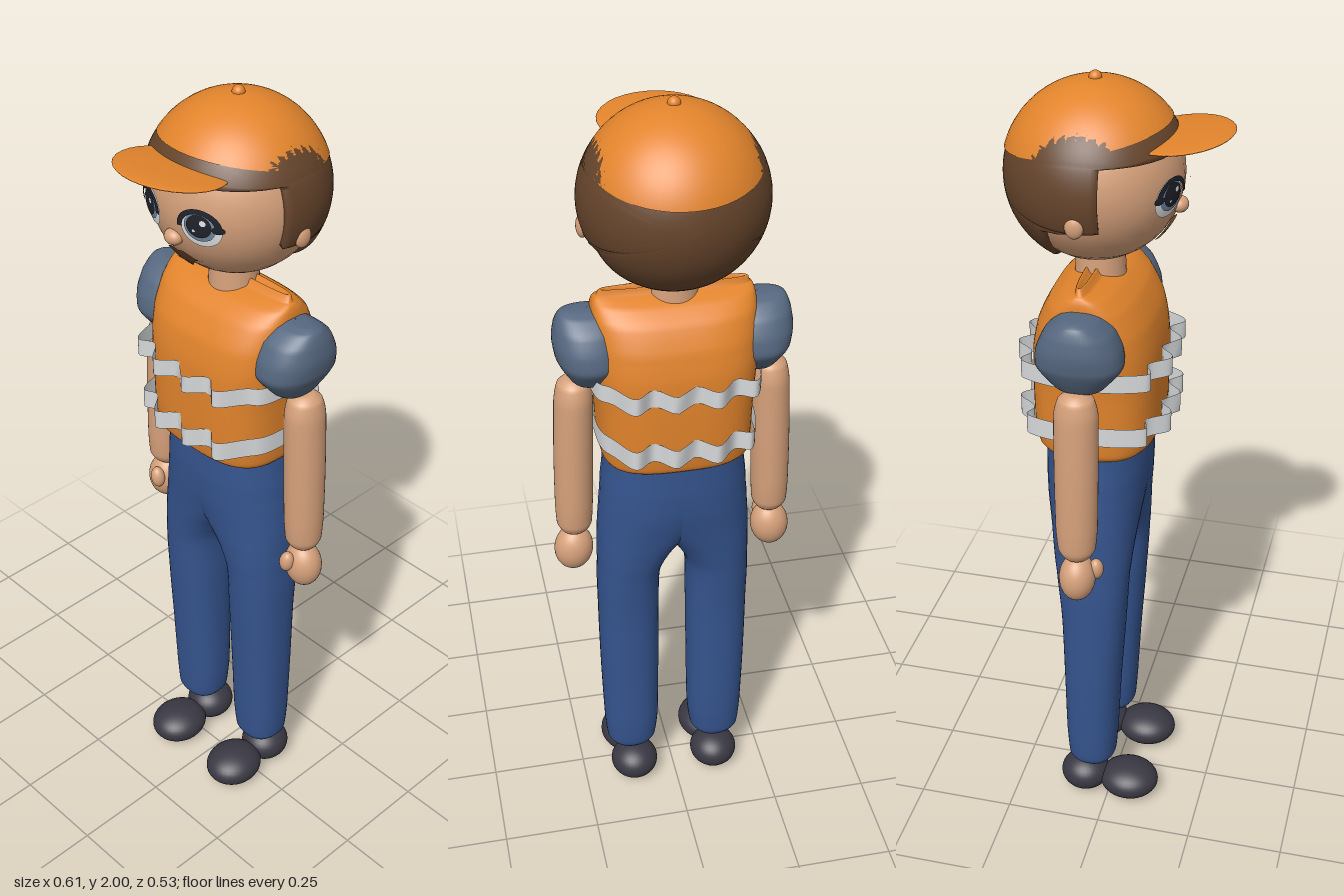
import * as THREE from 'three';

const mat = (name, color, side = THREE.FrontSide) => {
  const m = new THREE.MeshStandardMaterial({ color, side });
  m.name = name;
  return m;
};

// Centre line (z) of the body, and the head sphere
const CZ = -0.045;
const HEAD = { y: 1.77, z: -0.053, r: 0.203 };

// Signed power, for rounded-box cross-sections
const spow = (v, e) => Math.sign(v) * Math.abs(v) ** (2 / e);

// Grid of rows x columns, closed round the columns
function gridGeometry(rows, cols, point) {
  const pos = [], idx = [];
  for (let i = 0; i <= rows; i++)
    for (let j = 0; j < cols; j++) pos.push(...point(i / rows, (j / cols) * Math.PI * 2));
  for (let i = 0; i < rows; i++)
    for (let j = 0; j < cols; j++) {
      const a = i * cols + j, b = i * cols + ((j + 1) % cols), c = a + cols, d = b + cols;
      idx.push(a, c, b, b, c, d);
    }
  const g = new THREE.BufferGeometry();
  g.setAttribute('position', new THREE.Float32BufferAttribute(pos, 3));
  g.setIndex(idx);
  g.computeVertexNormals();
  return g;
}

// Smooth upright loft; sections are [y, centreX, centreZ, radiusX, radiusZ] from bottom to top
function loft(sections, side = 1, e = 2, cols = 40) {
  const mid = new THREE.CatmullRomCurve3(sections.map(s => new THREE.Vector3(s[1] * side, s[0], s[2])));
  const rad = new THREE.CatmullRomCurve3(sections.map(s => new THREE.Vector3(s[3], s[4], 0)));
  return gridGeometry((sections.length - 1) * 6, cols, (t, a) => {
    const m = mid.getPoint(t), r = rad.getPoint(t);
    return [
      m.x + Math.max(r.x, 0.0005) * spow(Math.cos(a), e), m.y,
      m.z + Math.max(r.y, 0.0005) * spow(Math.sin(a), e),
    ];
  });
}

// Lays a flat geometry (model x and y) onto the front of the head
function ontoFace(g, lift) {
  const p = g.attributes.position, r = HEAD.r + lift;
  for (let i = 0; i < p.count; i++) {
    const x = p.getX(i), y = p.getY(i) - HEAD.y;
    p.setZ(i, HEAD.z + Math.sqrt(Math.max(r * r - x * x - y * y, 0)));
  }
  g.computeVertexNormals();
  return g;
}

export function createModel() {
  const model = new THREE.Group();
  const orange = mat('orange', 0xe2842c, THREE.DoubleSide);
  const skin = mat('skin', 0xd6a17b);
  const brown = mat('hair brown', 0x65442b, THREE.DoubleSide);
  const denim = mat('denim blue', 0x35548e);
  const slate = mat('slate blue', 0x566880);
  const silver = mat('silver', 0xd6d8da, THREE.DoubleSide);
  const charcoal = mat('charcoal', 0x3a3944);
  const white = mat('eye white', 0xf0f1f2);
  const iris = mat('iris', 0x7488a0);
  const ink = mat('eye dark', 0x20222c);

  const add = (name, geometry, material) => {
    const m = new THREE.Mesh(geometry, material);
    m.name = name;
    model.add(m);
    return m;
  };
  const ball = (name, material, [x, y, z], [rx, ry, rz]) => {
    const m = add(name, new THREE.SphereGeometry(1, 32, 20), material);
    m.position.set(x, y, z);
    m.scale.set(rx, ry, rz);
    return m;
  };

  // Vest
  add('vest', loft([
    [1.096, 0, -0.042, 0.001, 0.001], [1.097, 0, -0.042, 0.165, 0.12], [1.115, 0, -0.042, 0.181, 0.143],
    [1.18, 0, -0.042, 0.186, 0.152], [1.27, 0, -0.042, 0.189, 0.153], [1.36, 0, -0.042, 0.196, 0.15],
    [1.43, 0, -0.042, 0.197, 0.136], [1.49, 0, -0.045, 0.195, 0.104], [1.522, 0, -0.047, 0.191, 0.064],
    [1.537, 0, -0.05, 0.18, 0.02], [1.537, 0, -0.05, 0.15, 0.001],
  ], 1, 3, 64), orange);

  // Rippled reflective bands round the vest
  for (const [y0, y1, rx] of [[1.155, 1.205, 0.192], [1.308, 1.354, 0.205]])
    add('reflectiveBand', gridGeometry(1, 160, (t, a) => {
      const x = rx * spow(Math.cos(a), 3), s = Math.sin(a);
      const ripple = (0.02 + 0.019 * Math.sin(x * 64)) * Math.min(1, Math.abs(s) * 1.6);
      return [x, y0 + (y1 - y0) * t, -0.042 + 0.151 * spow(s, 3) + Math.sign(s) * ripple];
    }), silver);

  // Neck
  const neck = add('neck', new THREE.CylinderGeometry(0.056, 0.062, 0.13, 32), skin);
  neck.position.set(0, 1.56, CZ);

  for (const s of [1, -1]) {
    // Trouser legs, overlapping above the crotch to form the hips
    add('trouserLeg', loft([
      [0.113, 0.117, CZ, 0.001, 0.001], [0.117, 0.117, CZ, 0.04, 0.04], [0.145, 0.117, CZ, 0.066, 0.062],
      [0.22, 0.116, CZ, 0.073, 0.068], [0.4, 0.117, -0.042, 0.077, 0.074], [0.6, 0.117, -0.038, 0.079, 0.083],
      [0.74, 0.114, -0.04, 0.081, 0.093], [0.81, 0.096, -0.042, 0.098, 0.101], [0.88, 0.062, -0.044, 0.13, 0.11],
      [0.96, 0.025, -0.046, 0.161, 0.122], [1.04, 0.005, -0.046, 0.174, 0.127], [1.11, 0, -0.046, 0.172, 0.126],
      [1.112, 0, -0.046, 0.001, 0.001],
    ], s, 2.3), denim);

    // Shoe: toe and heel
    ball('shoeToe', charcoal, [s * 0.113, 0.05, 0.055], [0.072, 0.047, 0.08]);
    ball('shoeHeel', charcoal, [s * 0.113, 0.055, -0.068], [0.064, 0.051, 0.066]);

    // Short sleeve
    add('sleeve', loft([
      [1.315, 0.2, CZ, 0.001, 0.001], [1.318, 0.2, CZ, 0.04, 0.05], [1.345, 0.2, CZ, 0.06, 0.078],
      [1.385, 0.2, CZ, 0.08, 0.104], [1.42, 0.2, CZ, 0.085, 0.1], [1.465, 0.2, CZ, 0.08, 0.08],
      [1.495, 0.2, CZ, 0.068, 0.045], [1.503, 0.2, CZ, 0.05, 0.02], [1.504, 0.2, CZ, 0.001, 0.001],
    ], s, 2.3), slate);

    // Arm
    add('arm', loft([
      [0.873, 0.251, CZ, 0.001, 0.001], [0.876, 0.251, CZ, 0.03, 0.03], [0.9, 0.251, CZ, 0.044, 0.046],
      [0.96, 0.25, CZ, 0.047, 0.051], [1.12, 0.246, CZ, 0.048, 0.053], [1.26, 0.241, CZ, 0.047, 0.053],
      [1.305, 0.239, CZ, 0.04, 0.043], [1.321, 0.238, CZ, 0.022, 0.022], [1.323, 0.238, CZ, 0.001, 0.001],
    ], s), skin);

    // Hand and thumb
    ball('hand', skin, [s * 0.255, 0.816, -0.044], [0.049, 0.062, 0.045]).rotation.z = s * 0.1;
    ball('thumb', skin, [s * 0.24, 0.836, 0], [0.019, 0.029, 0.018]).rotation.z = s * -0.15;

    // Ear
    ball('ear', skin, [s * 0.207, 1.715, -0.052], [0.014, 0.027, 0.022]);

    // Eye, built as layered patches that follow the face
    const patch = (name, material, x, y, r, lift, squash = 1, inner = 0, from = 0, span = Math.PI * 2) => {
      const g = new THREE.RingGeometry(inner, r, 32, 5, from, span).scale(1, squash, 1);
      add(name, ontoFace(g.translate(x, y, 0), lift), material);
    };
    patch('eyeWhite', white, s * 0.079, 1.752, 0.045, 0.003);
    patch('iris', iris, s * 0.079, 1.757, 0.035, 0.005);
    patch('pupil', ink, s * 0.079, 1.76, 0.028, 0.007);
    patch('eyeHighlight', white, s * 0.079 + 0.011, 1.77, 0.007, 0.009);
    patch('eyeHighlight', white, s * 0.079 - 0.01, 1.748, 0.004, 0.009);
    patch('eyelashes', ink, s * 0.079, 1.757, 0.05, 0.009, 0.88, 0.037, -0.1, Math.PI + 0.2);
    patch('lashTip', ink, s * 0.12, 1.757, 0.013, 0.008, 0.7);
  }

  // Head and nose
  ball('head', skin, [0, HEAD.y, HEAD.z], [HEAD.r, HEAD.r, HEAD.r]);
  ball('nose', skin, [0, 1.706, 0.141], [0.024, 0.019, 0.02]);

  // Moustache running into a pointed beard
  const beard = new THREE.PlaneGeometry(0.124, 1, 32, 8), bp = beard.attributes.position;
  for (let i = 0; i < bp.count; i++) {
    const x = Math.abs(bp.getX(i)), t = bp.getY(i) + 0.5;
    const top = 1.667 + 0.007 * Math.sin(x * 90) - 0.006 * (x / 0.062);
    const bottom = 1.65 + 0.008 * (x / 0.062) ** 4 - 0.04 * Math.max(0, 1 - x / 0.042);
    bp.setY(i, bottom + (top - bottom) * t);
  }
  add('moustacheAndBeard', ontoFace(beard, 0.006), brown);
  const lip = new THREE.RingGeometry(0, 0.018, 24, 3).scale(1, 0.22, 1).translate(0, 1.643, 0);
  add('lip', ontoFace(lip, 0.009), skin);

  // Hair shell, spread from the back of the head to a hairline, with a turned-in rim
  const isHair = (y, z) => (z < 0.053 && y > -0.078) || z < -0.078 || y > 0.078;
  const HR = 0.212, rows = 24;
  const hairline = a => {
    let t = 0.3;
    while (t < 3.1 && isHair(HR * Math.sin(t) * Math.cos(a), -HR * Math.cos(t))) t += 0.01;
    return t;
  };
  add('hair', gridGeometry(rows, 180, (v, a) => {
    const k = Math.min(1, (v * rows) / (rows - 1));
    const t = 0.001 + hairline(a) * k, r = v > 0.999 ? 0.198 : HR;
    return [1.03 * r * Math.sin(t) * Math.sin(a), HEAD.y + r * Math.sin(t) * Math.cos(a), HEAD.z - r * Math.cos(t)];
  }), brown);

  // Cap: tilted crown, button and peak
  const crown = add('capCrown', new THREE.SphereGeometry(0.217, 48, 20, 0, Math.PI * 2, 0, 1.1), orange);
  crown.position.set(0, 1.768, -0.053);
  crown.rotation.x = -0.184;
  ball('capButton', orange, [0, 1.985, -0.055], [0.015, 0.015, 0.015]);
  ball('capPeak', orange, [0, 1.87, 0.145], [0.137, 0.01, 0.118]).rotation.x = -0.12;

  return model;
}
